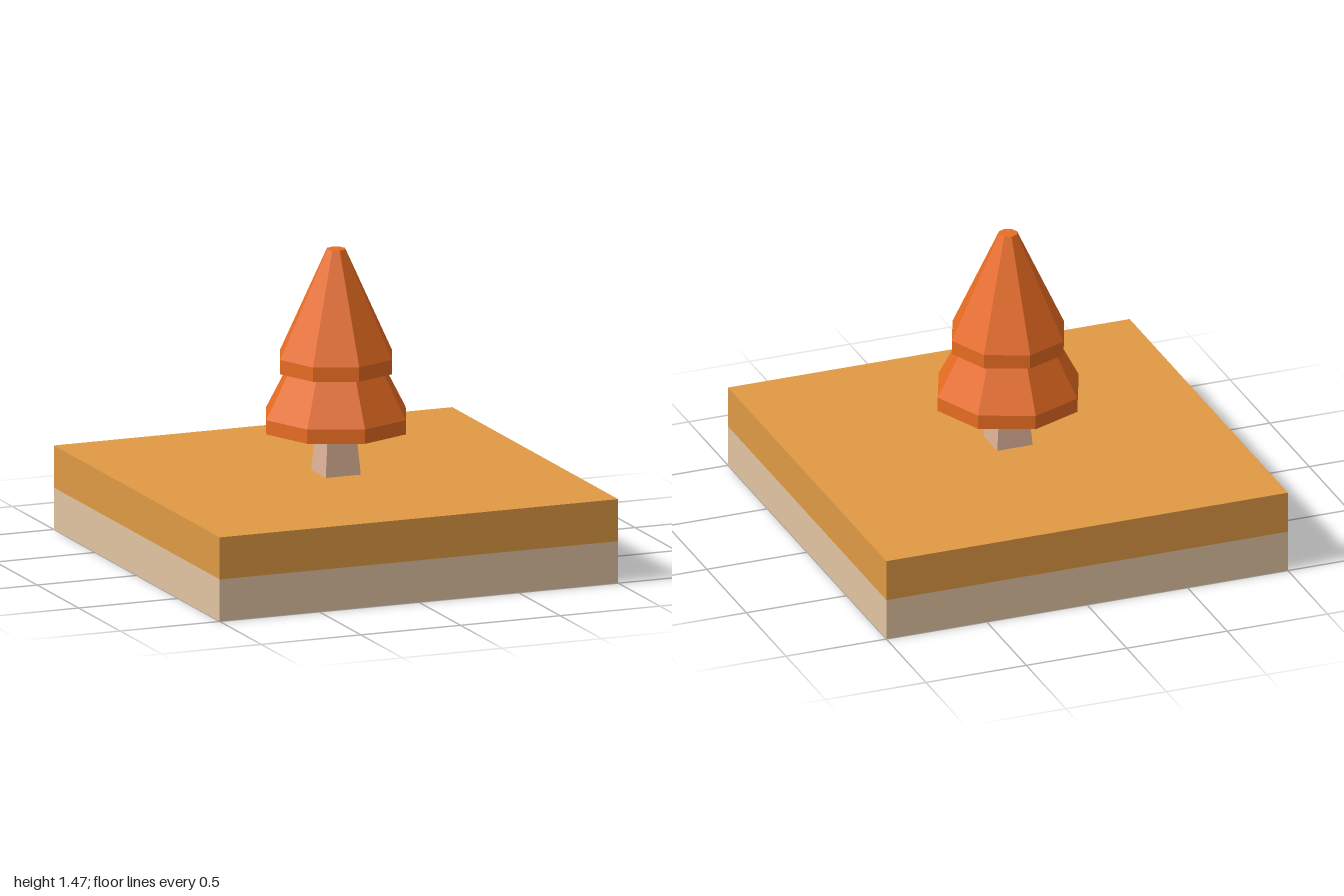
import * as THREE from 'three';

export function createModel() {
  const model = new THREE.Group();
  model.name = 'treeOnTile';

  const material = (color) => new THREE.MeshStandardMaterial({ color, flatShading: true });
  const sand = material(0xe09a44);
  const soil = material(0xe3c5a3);
  const bark = material(0xdeb297);
  const leaves = material(0xe86c22);

  function add(parent, name, geometry, mat, y = 0) {
    const mesh = new THREE.Mesh(geometry, mat);
    mesh.name = name;
    mesh.position.y = y;
    parent.add(mesh);
    return mesh;
  }

  // Two-layer square ground tile
  add(model, 'soilLayer', new THREE.BoxGeometry(2, 0.2, 2), soil, 0.1);
  add(model, 'topLayer', new THREE.BoxGeometry(2, 0.2, 2), sand, 0.3);

  const tree = new THREE.Group();
  tree.name = 'tree';
  model.add(tree);

  // Square tapered trunk: a four-sided cylinder turned to face the axes
  const trunk = new THREE.CylinderGeometry(0.07 * Math.SQRT2, 0.088 * Math.SQRT2, 0.22, 4);
  trunk.rotateY(Math.PI / 4);
  add(tree, 'trunk', trunk, bark, 0.51);

  // Eight-sided foliage tiers: closed underside, upright rim, sloping sides, flat top
  function tier(name, bottom, rim, radius, top, topRadius) {
    const profile = [[0, bottom], [radius, bottom], [radius, rim], [topRadius, top], [0, top]];
    const points = profile.map(([r, y]) => new THREE.Vector2(r, y));
    add(tree, name, new THREE.LatheGeometry(points, 8), leaves);
  }
  tier('lowerFoliage', 0.612, 0.68, 0.35, 0.893, 0.238);
  tier('upperFoliage', 0.892, 0.96, 0.28, 1.465, 0.045);

  return model;
}
